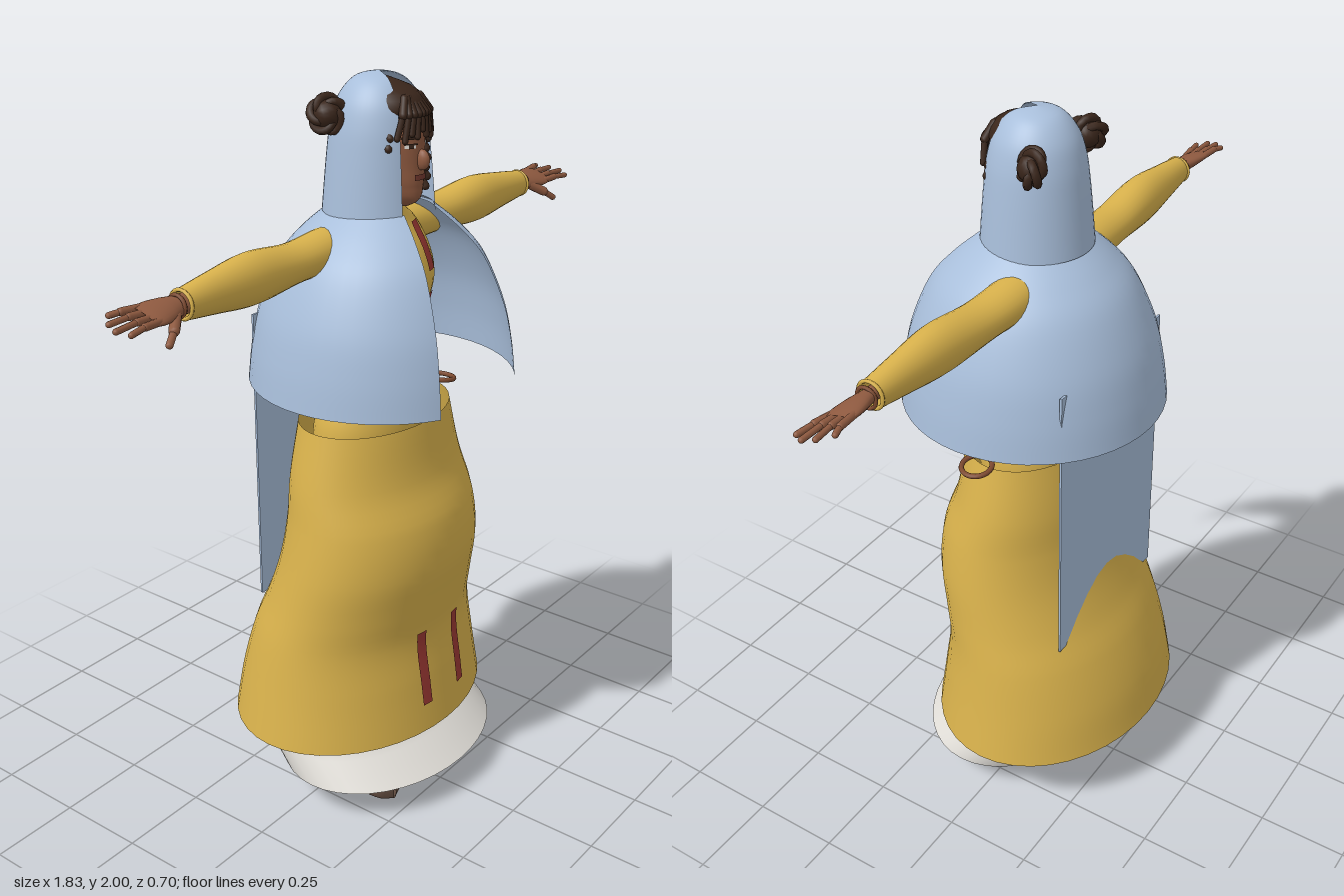
import * as THREE from 'three';
import { ParametricGeometry } from 'three/addons/geometries/ParametricGeometry.js';

const paint = (name, color) => {
  const m = new THREE.MeshStandardMaterial({ color, side: THREE.DoubleSide });
  m.name = name;
  return m;
};

export function createModel() {
  const yellow = paint('yellow cloth', 0xd9b24c);
  const blue = paint('pale blue cloth', 0xa9bfdb);
  const white = paint('white linen', 0xe3e0da);
  const red = paint('red trim', 0x9a3833);
  const skin = paint('skin', 0x8f5a40);
  const hairMat = paint('dark hair', 0x3a261b);
  const shoeMat = paint('shoe leather', 0x5f4a3e);
  const leather = paint('belt leather', 0x7d4a30);
  const lipMat = paint('lips', 0x74392f);

  const model = new THREE.Group();
  const add = (name, geometry, material, parent = model) => {
    const mesh = new THREE.Mesh(geometry, material);
    mesh.name = name;
    parent.add(mesh);
    return mesh;
  };

  // Smooth interpolation through rows of [t, ...values]
  const track = rows => {
    const n = rows[0].length - 1;
    const f = new THREE.CubicInterpolant(rows.map(r => r[0]), rows.flatMap(r => r.slice(1)), n);
    const at = t => Array.from(f.evaluate(t));
    at.lo = rows[0][0];
    at.hi = rows[rows.length - 1][0];
    return at;
  };
  const sweep = (at, point, nu = 36, nv = 28) => new ParametricGeometry((u, v, p) => {
    const t = at.lo + (at.hi - at.lo) * v;
    point(u * Math.PI * 2, t, at(t), p);
  }, nu, nv);

  // Upright shell: rows of [y, half width, front z, back z]
  const shell = (at, nu, nv) => sweep(at, (a, y, [rx, zf, zb], p) =>
    p.set(rx * Math.sin(a), y, (zf + zb) / 2 + (zf - zb) / 2 * Math.cos(a)), nu, nv);

  // Thin patch lying on the front of a shell
  const patch = (at, x0, x1, y0, y1, off = 0.004) => new ParametricGeometry((u, v, p) => {
    const x = x0 + (x1 - x0) * u, y = y0 + (y1 - y0) * v;
    const [rx, zf, zb] = at(y);
    p.set(x, y, (zf + zb) / 2 + (zf - zb) / 2 * Math.sqrt(Math.max(0, 1 - (x / rx) ** 2)) + off);
  }, 4, 10);

  // Rounded rod between two points
  const rod = (name, a, b, r, material, parent) => {
    const A = new THREE.Vector3(...a), B = new THREE.Vector3(...b), d = B.clone().sub(A);
    const m = add(name, new THREE.CapsuleGeometry(r, d.length(), 4, 10), material, parent);
    m.position.copy(A).add(B).multiplyScalar(0.5);
    m.quaternion.setFromUnitVectors(new THREE.Vector3(0, 1, 0), d.normalize());
    return m;
  };

  // Dress
  const skirt = track([
    [0.22, 0.41, 0.27, -0.36], [0.36, 0.385, 0.25, -0.335], [0.5, 0.362, 0.232, -0.29],
    [0.6, 0.345, 0.245, -0.245], [0.72, 0.328, 0.262, -0.205], [0.84, 0.308, 0.25, -0.185],
    [0.95, 0.288, 0.208, -0.178], [1.11, 0.25, 0.18, -0.16]]);
  add('skirt', shell(skirt, 40, 36), yellow);
  const underskirt = track([
    [0.1, 0.357, 0.32, -0.2], [0.15, 0.352, 0.265, -0.24], [0.21, 0.346, 0.205, -0.28],
    [0.3, 0.335, 0.19, -0.27], [0.5, 0.3, 0.18, -0.2], [0.95, 0.23, 0.15, -0.13]]);
  add('underskirt', shell(underskirt, 40, 24), white);
  const bodice = track([
    [1.0, 0.205, 0.15, -0.13], [1.11, 0.2, 0.165, -0.125], [1.2, 0.168, 0.158, -0.085],
    [1.3, 0.13, 0.125, -0.07], [1.4, 0.145, 0.138, -0.07], [1.48, 0.16, 0.152, -0.08],
    [1.55, 0.16, 0.13, -0.085], [1.62, 0.13, 0.09, -0.07], [1.665, 0.06, 0.075, -0.02]]);
  add('bodice', shell(bodice, 36, 36), yellow);
  for (const s of [-1, 1]) {
    for (const [y0, y1] of [[1.28, 1.44], [1.5, 1.62]])
      add('bodiceStripe', patch(bodice, s * 0.067 - 0.018, s * 0.067 + 0.018, y0, y1), red);
    add('skirtStripe', patch(skirt, s * 0.077 - 0.017, s * 0.077 + 0.017, 0.3, 0.52), red);
  }

  // Loop hanging at the hip
  const loop = add('beltLoop', new THREE.TorusGeometry(0.04, 0.007, 8, 24), leather);
  loop.position.set(0.268, 1.117, 0.035);
  loop.rotation.set(Math.PI / 2, -0.15, 0);

  // Cape and hood, both open at the front
  const gap = 0.5;
  const wrap = (name, pts, z) => {
    const curve = new THREE.SplineCurve(pts.map(p => new THREE.Vector2(...p)));
    add(name, new THREE.LatheGeometry(curve.getPoints(28), 40, gap, Math.PI * 2 - gap * 2), blue).position.z = z;
  };
  wrap('cape', [[0.352, 1.21], [0.34, 1.31], [0.315, 1.42], [0.262, 1.54], [0.2, 1.612], [0.13, 1.67]], 0.032);
  wrap('hood', [[0.144, 1.655], [0.131, 1.8], [0.12, 1.88], [0.1, 1.94], [0.06, 1.985], [0.001, 2.0]], 0.02);
  add('backPanel', new THREE.BoxGeometry(0.486, 0.82, 0.006), blue).position.set(0, 0.98, -0.203);

  // Head and face
  const face = track([
    [1.675, 0.012, 0.11, 0.06], [1.69, 0.035, 0.138, 0.0], [1.73, 0.055, 0.15, -0.03],
    [1.78, 0.066, 0.15, -0.06], [1.83, 0.073, 0.15, -0.08], [1.9, 0.074, 0.145, -0.08],
    [1.95, 0.055, 0.11, -0.06]]);
  const head = new THREE.Group();
  head.name = 'head';
  model.add(head);
  add('face', shell(face, 32, 24), skin, head);
  add('neck', new THREE.CylinderGeometry(0.042, 0.05, 0.14, 20), skin, head).position.set(0, 1.665, 0.03);
  const nose = add('nose', new THREE.SphereGeometry(1, 14, 10), skin, head);
  nose.scale.set(0.014, 0.026, 0.022);
  nose.position.set(0, 1.797, 0.153);
  add('lips', patch(face, -0.022, 0.022, 1.748, 1.762), lipMat, head);
  for (const s of [-1, 1]) {
    const plate = (name, x, w, y, h, off, m) =>
      add(name, patch(face, s * x - w / 2, s * x + w / 2, y - h / 2, y + h / 2, off), m, head);
    plate('eyeWhite', 0.031, 0.024, 1.832, 0.009, 0.002, white);
    plate('iris', 0.031, 0.011, 1.832, 0.01, 0.004, hairMat);
    plate('upperLid', 0.031, 0.028, 1.838, 0.004, 0.005, hairMat);
    plate('brow', 0.033, 0.034, 1.853, 0.007, 0.004, hairMat);
  }

  // Hair: cap, fringe, side locks and two curly buns
  const cap = track([
    [1.7, 0.08, 0.05, -0.075], [1.85, 0.092, 0.085, -0.082], [1.89, 0.094, 0.125, -0.084],
    [1.925, 0.088, 0.145, -0.08], [1.965, 0.062, 0.11, -0.05], [1.99, 0.004, 0.035, 0.02]]);
  add('hairCap', shell(cap, 28, 24), hairMat, head);
  for (let i = -4; i <= 4; i++) {
    const x = i * 0.016, drop = 1.872 - 0.012 * Math.abs(i % 2) - Math.abs(i) * 0.004;
    rod('fringeTuft', [x * 0.5, 1.945, 0.12], [x * 0.85, 1.91, 0.15 - x * x * 4], 0.011, hairMat, head);
    rod('fringeTip', [x * 0.85, 1.91, 0.15 - x * x * 4], [x * 1.1, drop, 0.153 - x * x * 6], 0.008, hairMat, head);
  }
  for (const s of [-1, 1]) {
    for (let k = 0; k < 7; k++)
      rod('sideLock', [s * 0.073, 1.87 - k * 0.024, 0.1], [s * (0.076 + 0.006 * (k % 2)), 1.855 - k * 0.024, 0.11],
        0.011, hairMat, head);
    const bun = new THREE.Group();
    bun.name = 'hairBun';
    bun.position.set(s * 0.122, 1.903, -0.045);
    bun.rotation.set(-0.4, s * 0.9, 0);
    head.add(bun);
    add('bunCore', new THREE.SphereGeometry(0.036, 14, 10), hairMat, bun);
    add('bunCurls', new THREE.TorusKnotGeometry(0.029, 0.011, 90, 7, 3, 5), hairMat, bun);
  }

  // Arms and legs are built on the left and mirrored
  const sleeve = track([
    [0.05, 1.585, 0.045, -0.02, 0.055], [0.16, 1.58, 0.054, -0.02, 0.06], [0.3, 1.577, 0.05, -0.014, 0.057],
    [0.47, 1.58, 0.064, -0.006, 0.054], [0.6, 1.58, 0.05, -0.003, 0.042], [0.7, 1.579, 0.037, 0, 0.033]]);
  const palm = track([
    [0.66, 1.58, 0.02, 0, 0.024], [0.71, 1.581, 0.02, 0, 0.025], [0.75, 1.582, 0.019, 0, 0.036],
    [0.79, 1.582, 0.015, 0, 0.042], [0.815, 1.582, 0.01, 0, 0.038]]);
  const along = at => sweep(at, (a, x, [y, ry, z, rz], p) => {
    const dz = rz * Math.sin(a);
    p.set(x, y + ry * Math.cos(a) - (at === palm ? dz * 0.3 : 0), z + dz);
  }, 24, 28);
  const shoe = track([
    [-0.102, 0.004, 0.04], [-0.085, 0.04, 0.085], [-0.03, 0.045, 0.102], [0.03, 0.05, 0.092],
    [0.1, 0.058, 0.065], [0.16, 0.052, 0.052], [0.19, 0.034, 0.042], [0.203, 0.004, 0.03]]);
  const soft = v => Math.sign(v) * Math.abs(v) ** 0.65;

  for (const s of [1, -1]) {
    const side = new THREE.Group();
    side.name = s > 0 ? 'leftLimbs' : 'rightLimbs';
    side.scale.x = s;
    model.add(side);

    add('sleeve', along(sleeve), yellow, side);
    add('hand', along(palm), skin, side);
    for (const [r, x] of [[0.034, 0.698], [0.026, 0.712]]) {
      const band = add('bracelet', new THREE.TorusGeometry(r, 0.005, 6, 20), r > 0.03 ? yellow : leather, side);
      band.rotation.y = Math.PI / 2;
      band.position.set(x, 1.58, 0);
    }
    [[-0.034, 0.872], [-0.012, 0.9], [0.011, 0.91], [0.032, 0.893]].forEach(([z, tip]) => {
      const y = 1.582 - z * 0.3;
      rod('finger', [0.79, y, z * 0.9], [0.845, y + 0.003, z * 1.1], 0.0095, skin, side);
      rod('fingertip', [0.845, y + 0.003, z * 1.1], [tip, y, z * 1.35], 0.0075, skin, side);
    });
    rod('thumbBase', [0.735, 1.57, 0.02], [0.77, 1.548, 0.046], 0.013, skin, side);
    rod('thumbTip', [0.77, 1.548, 0.046], [0.8, 1.527, 0.06], 0.009, skin, side);

    add('leg', new THREE.CylinderGeometry(0.065, 0.034, 0.75, 18), skin, side).position.set(0.138, 0.445, -0.03);
    const foot = add('shoe', sweep(shoe, (a, z, [w, h], p) =>
      p.set(-w * soft(Math.sin(a)), h / 2 + h / 2 * soft(Math.cos(a)), z), 24, 28), shoeMat, side);
    foot.position.set(0.13, 0, 0);
    foot.rotation.y = 0.13;
  }
  return model;
}
